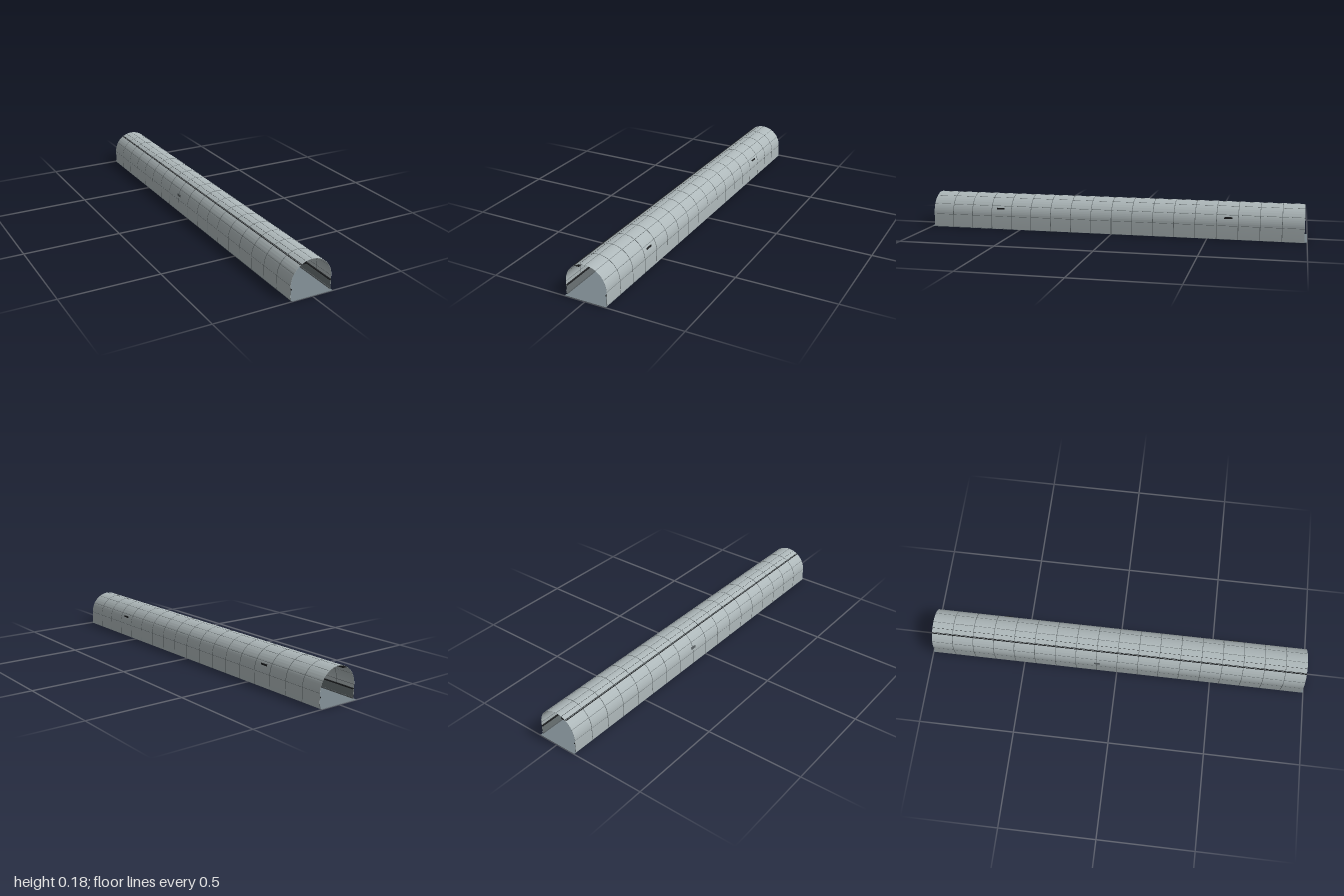
import * as THREE from 'three';
import { toCreasedNormals } from 'three/addons/utils/BufferGeometryUtils.js';

const R = 0.1075;      // arch radius and half width
const SPRING = 0.0705; // height where the arch starts
const HALF = 0.986;    // half length of the lining

function material(name, color) {
  const m = new THREE.MeshStandardMaterial({ color, side: THREE.DoubleSide });
  m.name = name;
  return m;
}

// Extruded band of the tunnel cross-section between two radii
function archBand(outer, inner, length) {
  const s = new THREE.Shape();
  s.moveTo(outer, 0.001);
  s.lineTo(outer, SPRING);
  s.absarc(0, SPRING, outer, 0, Math.PI, false);
  s.lineTo(-outer, 0.001);
  s.lineTo(-inner, 0.001);
  s.lineTo(-inner, SPRING);
  s.absarc(0, SPRING, inner, Math.PI, 0, true);
  s.lineTo(inner, 0.001);
  const g = new THREE.ExtrudeGeometry(s, { depth: length, bevelEnabled: false, curveSegments: 36 });
  g.translate(0, 0, -length / 2);
  return toCreasedNormals(g, Math.PI / 6);
}

export function createModel() {
  const model = new THREE.Group();
  model.name = 'tunnel';

  const concrete = material('concrete', 0xaeb8ba);
  const paving = material('paving', 0x78848a);
  const joint = material('joint', 0x6a7274);
  const metal = material('metal', 0x5c6366);
  const black = material('black', 0x1e2022);

  const add = (name, geometry, mat, x = 0, y = 0, z = 0, parent = model) => {
    const mesh = new THREE.Mesh(geometry, mat);
    mesh.name = name;
    mesh.position.set(x, y, z);
    parent.add(mesh);
    return mesh;
  };
  const box = (w, h, d) => new THREE.BoxGeometry(w, h, d);

  // Floor slab, slightly longer than the lining
  add('floor', box(2 * R, 0.003, 2), paving, 0, 0.0015, 0);

  // Thin vaulted lining
  add('lining', archBand(R, R - 0.0008, 2 * HALF), concrete);

  // Ring joints between lining segments
  const ringGeometry = archBand(R + 0.0005, R - 0.0013, 0.003);
  for (let k = -8; k <= 8; k++) add('ringJoint', ringGeometry, joint, 0, 0, k * 0.1095);

  // Lengthwise joints around the vault
  const seamGeometry = box(0.0018, 0.0018, 2 * HALF);
  for (let i = 0; i <= 6; i++) {
    const a = (i * Math.PI) / 6;
    const r = R - 0.0004;
    const seam = add('lengthwiseJoint', seamGeometry, joint, r * Math.cos(a), SPRING + r * Math.sin(a));
    seam.rotation.z = a;
  }

  // Lower wall panels, kerbs and conduits on both sides
  for (const side of [-1, 1]) {
    add('wallPanel', box(0.0012, 0.044, 2 * HALF), joint, side * (R - 0.002), 0.024);
    add('kerb', box(0.003, 0.006, 2 * HALF), metal, side * (R - 0.0035), 0.006);
    add('conduit', box(0.007, 0.005, 2 * HALF), black, side * (R - 0.0043), 0.0505);
  }

  // Cable tray hung under the vault
  const tray = new THREE.Group();
  tray.name = 'cableTray';
  model.add(tray);
  add('trayBase', box(0.029, 0.0012, 2 * HALF), black, -0.0467, 0.1612, 0, tray);
  add('trayLip', box(0.001, 0.013, 2 * HALF), black, -0.0322, 0.167, 0, tray);
  const cable = new THREE.CylinderGeometry(0.0011, 0.0011, 2 * HALF, 8).rotateX(Math.PI / 2);
  for (let i = 0; i < 5; i++) add('cable', cable, black, -0.0545 + i * 0.0045, 0.1632, 0, tray);

  // Lamps on the left wall
  for (const z of [-0.607, 0.607]) {
    const lamp = new THREE.Group();
    lamp.name = 'wallLamp';
    lamp.position.set(0.0993, 0.104, z);
    model.add(lamp);
    add('lampBody', box(0.0044, 0.021, 0.042), black, 0, 0, 0, lamp);
    for (const y of [-0.007, 0, 0.007]) add('lampFin', box(0.003, 0.002, 0.04), metal, -0.0035, y, 0, lamp);
  }

  // Equipment cabinet on the right wall
  const cabinet = new THREE.Group();
  cabinet.name = 'cabinet';
  cabinet.position.set(-0.1015, 0.081, -0.105);
  model.add(cabinet);
  add('cabinetBody', box(0.009, 0.043, 0.032), metal, 0, 0, 0, cabinet);
  add('cabinetDoor', box(0.0015, 0.037, 0.026), joint, 0.005, 0, 0, cabinet);

  return model;
}
